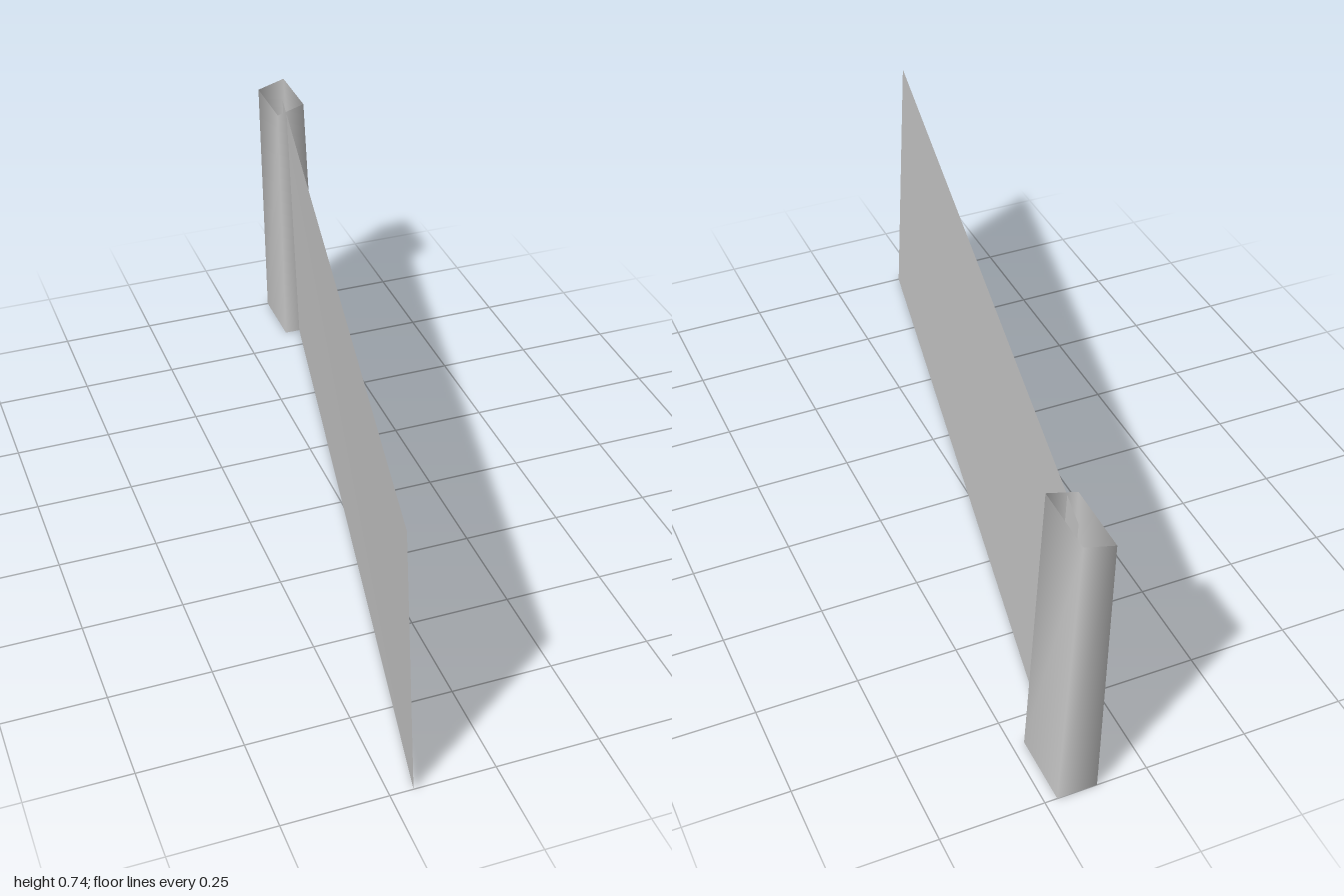
import * as THREE from 'three';

// Indexed surface skinned between a bottom and a top row of points
function skin(bottom, top, closed) {
  const n = bottom.length;
  const index = [];
  for (let i = 0; i < (closed ? n : n - 1); i++) {
    const j = (i + 1) % n;
    index.push(i, j, n + j, i, n + j, n + i);
  }
  const geometry = new THREE.BufferGeometry();
  geometry.setAttribute('position', new THREE.Float32BufferAttribute([...bottom, ...top].flat(), 3));
  geometry.setIndex(index);
  geometry.computeVertexNormals(); // shared corners give the soft shading
  return geometry;
}

export function createModel() {
  const group = new THREE.Group();
  const grey = new THREE.MeshStandardMaterial({ color: 0xc4c4c4, side: THREE.DoubleSide });
  grey.name = 'light grey';

  const add = (name, geometry) => {
    const mesh = new THREE.Mesh(geometry, grey);
    mesh.name = name;
    group.add(mesh);
  };

  // Long leaning panel, its rear end tucked inside the post
  add('panel', skin(
    [[-0.195, 0, 1], [0.182, 0, -0.91]],
    [[-0.222, 0.715, 0.99], [0.155, 0.715, -0.914]],
    false
  ));

  // Open four-sided post, tapering and leaning, with a slanted top rim
  const ring = (left, right, yLeft, yRight) => [
    [left, yLeft, -0.825], [right, yRight, -0.825], [right, yRight, -1], [left, yLeft, -1],
  ];
  add('post', skin(ring(0.123, 0.22, 0, 0), ring(0.112, 0.187, 0.715, 0.737), true));

  return group;
}
